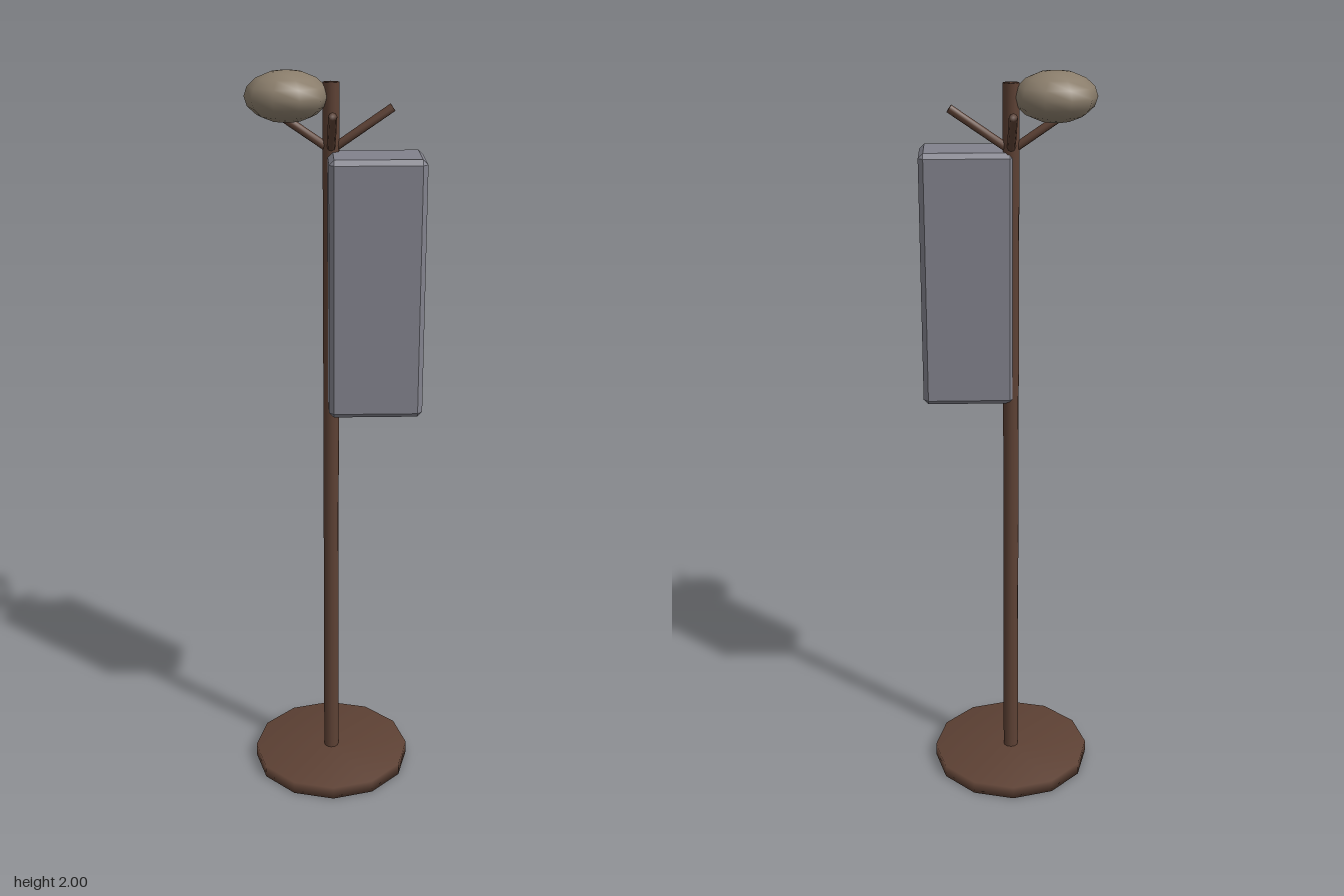
import * as THREE from 'three';
import { mergeVertices } from 'three/addons/utils/BufferGeometryUtils.js';
import { ConvexGeometry } from 'three/addons/geometries/ConvexGeometry.js';

const wood = new THREE.MeshStandardMaterial({ color: 0x5d4134 });
wood.name = 'brown wood';
const cloth = new THREE.MeshStandardMaterial({ color: 0x82828c });
cloth.name = 'grey cloth';
const felt = new THREE.MeshStandardMaterial({ color: 0x8a7d6b });
felt.name = 'tan felt';

// Share vertices so that normals blend softly over every edge
function soften(geometry) {
  geometry.deleteAttribute('normal');
  geometry.deleteAttribute('uv');
  const merged = mergeVertices(geometry, 1e-4);
  merged.computeVertexNormals();
  return merged;
}

function add(parent, name, geometry, material, x = 0, y = 0, z = 0) {
  const mesh = new THREE.Mesh(geometry, material);
  mesh.name = name;
  mesh.position.set(x, y, z);
  parent.add(mesh);
  return mesh;
}

// Box with flat chamfered edges, as the hull of its 24 corners
function chamferBox(w, h, d, c) {
  const points = [];
  for (const sx of [-1, 1]) for (const sy of [-1, 1]) for (const sz of [-1, 1]) {
    const x = w / 2, y = h / 2, z = d / 2;
    points.push(
      new THREE.Vector3(sx * x, sy * (y - c), sz * (z - c)),
      new THREE.Vector3(sx * (x - c), sy * y, sz * (z - c)),
      new THREE.Vector3(sx * (x - c), sy * (y - c), sz * z)
    );
  }
  return new ConvexGeometry(points);
}

export function createModel() {
  const group = new THREE.Group();
  group.name = 'coatStand';
  const px = -0.007; // pole axis

  // Base disc and pole
  add(group, 'base', soften(new THREE.CylinderGeometry(0.224, 0.224, 0.036, 12)), wood, px, 0.018, 0);
  add(group, 'pole', soften(new THREE.CylinderGeometry(0.021, 0.021, 1.95, 12)), wood, px, 0.995, 0);

  // Four pegs slanting up and outwards
  const up = new THREE.Vector3(0, 1, 0);
  for (let i = 0; i < 4; i++) {
    const a = i * Math.PI / 2;
    const start = new THREE.Vector3(px, 1.803, 0);
    const end = new THREE.Vector3(px + 0.155 * Math.cos(a), 1.908, 0.155 * Math.sin(a));
    const dir = end.clone().sub(start);
    const peg = add(group, 'peg', soften(new THREE.CylinderGeometry(0.011, 0.011, dir.length(), 8)), wood);
    peg.position.copy(start).add(end).multiplyScalar(0.5);
    peg.quaternion.setFromUnitVectors(up, dir.normalize());
  }

  // Hanging coat, wrapped over one side of the pole
  add(group, 'coat', chamferBox(0.244, 0.67, 0.167, 0.013), cloth, 0.106, 1.465, 0.056);

  // Hat on the peg at the model's right
  const hat = new THREE.SphereGeometry(1, 10, 8);
  hat.scale(0.106, 0.064, 0.106);
  add(group, 'hat', soften(hat), felt, -0.118, 1.936, 0);

  return group;
}
